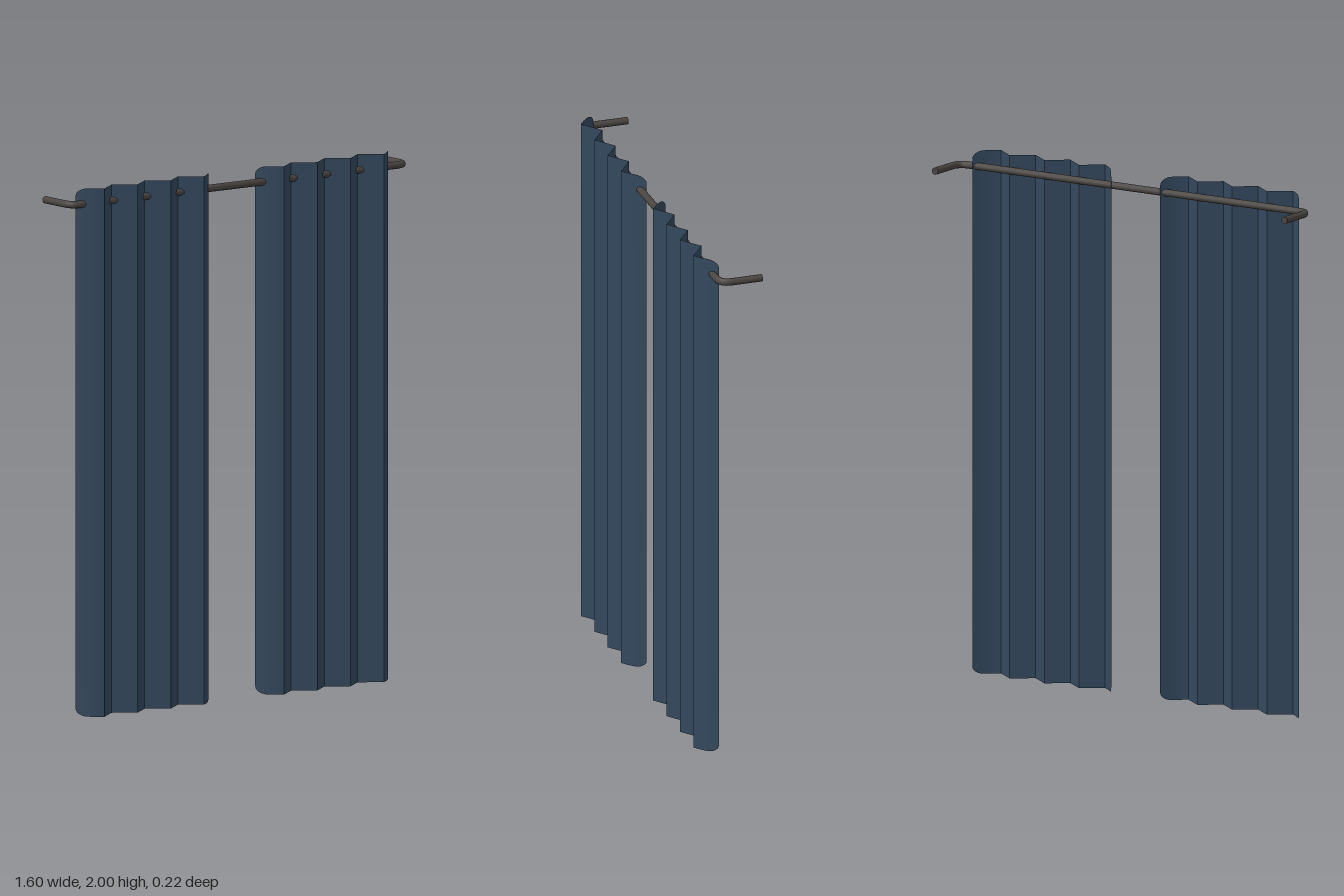
import * as THREE from 'three';

const HEIGHT = 2, WIDTH = 0.625, FOLDS = 8;
const PEAK_Z = 0.11, VALLEY_Z = 0.052, EDGE_Z = 0.035, CORNER = 0.03;
const ROD_Y = 1.94, ROD_Z = 0.053, ROD_X = 0.786, ROD_R = 0.014, BACK_Z = -0.11, BEND = 0.045;

// Pleated cloth: each fold is its own strip, so the creases stay sharp
function pleatedPanel() {
  const pos = [], index = [];
  const step = WIDTH / FOLDS;
  const strip = (columns) => {
    const base = pos.length / 3;
    columns.forEach(([x, z, inset], i) => {
      pos.push(x, inset, z, x, HEIGHT - inset, z);
      if (i) {
        const a = base + 2 * i - 2;
        index.push(a, a + 2, a + 1, a + 1, a + 2, a + 3);
      }
    });
  };
  // Outer fold, curling back to the edge with rounded corners
  const edge = (side) => {
    const columns = [];
    const N = 10;
    for (let i = 0; i <= N; i++) {
      const t = Math.sin((i / N) * Math.PI / 2);
      const x = WIDTH / 2 - step * (1 - t);
      const z = PEAK_Z - 0.048 * t - (PEAK_Z - EDGE_Z - 0.048) * t * t;
      const u = Math.max(0, (x - WIDTH / 2 + CORNER) / CORNER);
      const inset = CORNER * (1 - Math.sqrt(Math.max(0, 1 - u * u)));
      columns.push([side * x, z, inset]);
    }
    return side > 0 ? columns : columns.reverse();
  };
  strip(edge(-1));
  for (let i = 1; i < FOLDS - 1; i++) {
    const column = (k) => [-WIDTH / 2 + k * step, k % 2 ? PEAK_Z : VALLEY_Z, 0];
    strip([column(i), column(i + 1)]);
  }
  strip(edge(1));
  const geo = new THREE.BufferGeometry();
  geo.setAttribute('position', new THREE.Float32BufferAttribute(pos, 3));
  geo.setIndex(index);
  geo.computeVertexNormals();
  return geo;
}

// Rail path: wall return, bend, long straight run, bend, wall return
function rodPath() {
  const v = (x, z) => new THREE.Vector3(x, ROD_Y, z);
  const path = new THREE.CurvePath();
  path.add(new THREE.LineCurve3(v(-ROD_X, BACK_Z), v(-ROD_X, ROD_Z - BEND)));
  path.add(new THREE.QuadraticBezierCurve3(v(-ROD_X, ROD_Z - BEND), v(-ROD_X, ROD_Z), v(-ROD_X + BEND, ROD_Z)));
  path.add(new THREE.LineCurve3(v(-ROD_X + BEND, ROD_Z), v(ROD_X - BEND, ROD_Z)));
  path.add(new THREE.QuadraticBezierCurve3(v(ROD_X - BEND, ROD_Z), v(ROD_X, ROD_Z), v(ROD_X, ROD_Z - BEND)));
  path.add(new THREE.LineCurve3(v(ROD_X, ROD_Z - BEND), v(ROD_X, BACK_Z)));
  return path;
}

export function createModel() {
  const group = new THREE.Group();
  group.name = 'curtains';

  const cloth = new THREE.MeshStandardMaterial({ color: 0x34495e, side: THREE.DoubleSide });
  cloth.name = 'dark blue cloth';
  const metal = new THREE.MeshStandardMaterial({ color: 0x4a4542 });
  metal.name = 'dark metal';

  const add = (name, geometry, material, x = 0, y = 0, z = 0) => {
    const mesh = new THREE.Mesh(geometry, material);
    mesh.name = name;
    mesh.position.set(x, y, z);
    group.add(mesh);
    return mesh;
  };

  // Two matching curtain panels
  const panel = pleatedPanel();
  add('rightCurtain', panel, cloth, -0.4425);
  add('leftCurtain', panel, cloth, 0.4025);

  // Curtain rod with closed ends
  add('rod', new THREE.TubeGeometry(rodPath(), 160, ROD_R, 10), metal);
  const cap = new THREE.CircleGeometry(ROD_R, 10);
  for (const side of [-1, 1]) {
    add(side < 0 ? 'rightRodEnd' : 'leftRodEnd', cap, metal, side * ROD_X, ROD_Y, BACK_Z).rotation.y = Math.PI;
  }
  return group;
}
